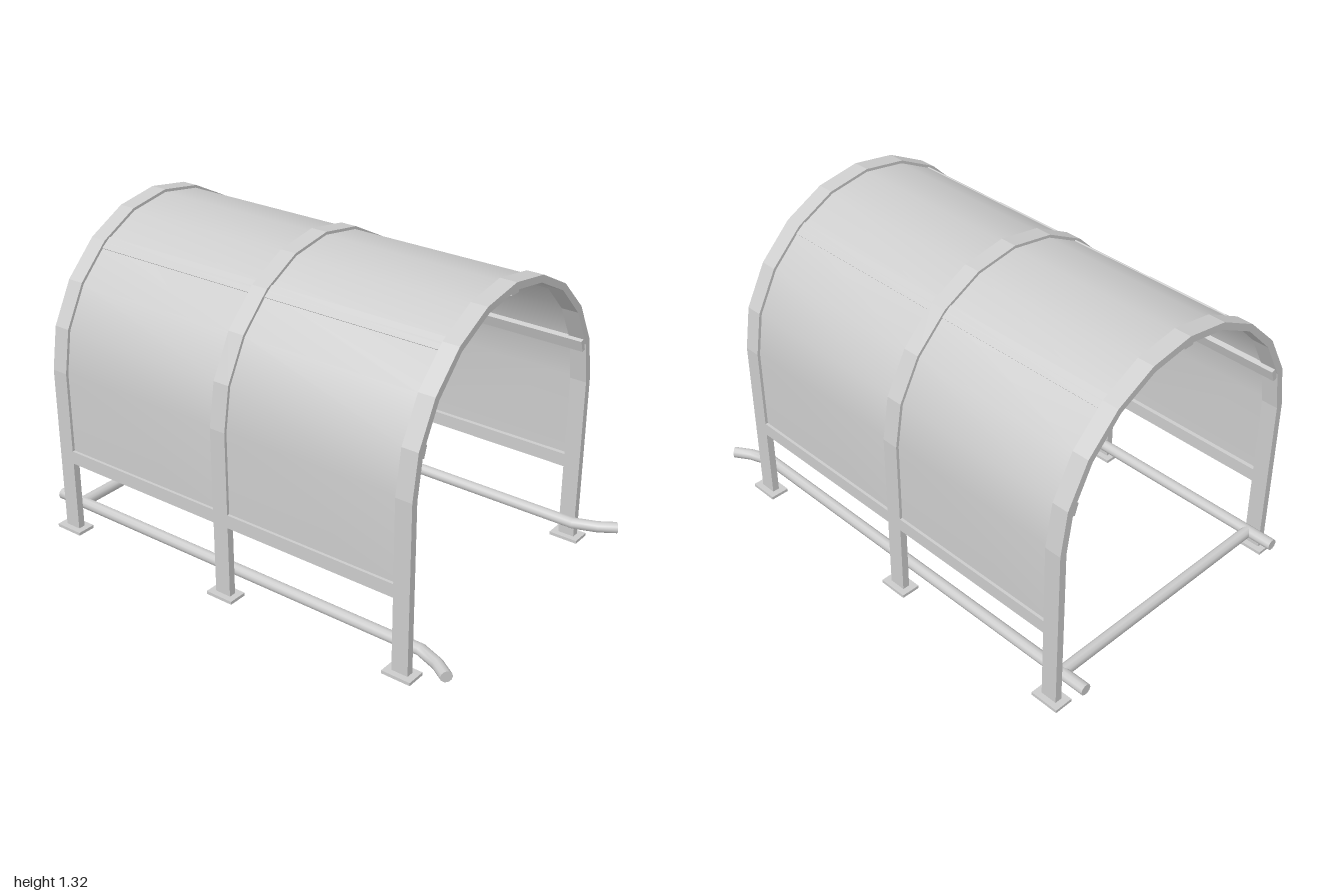
import * as THREE from 'three';

const grey = new THREE.MeshStandardMaterial({ color: 0xcccccc, side: THREE.DoubleSide });
const hoopZ = [0.775, -0.055, -0.88];
const hoopWidth = 0.07;

// Half profiles of the arch, from the ground to the ridge
const outer = [[0.61, 0], [0.61, 0.72], [0.58, 0.9], [0.49, 1.068], [0.353, 1.203], [0.185, 1.29], [0, 1.32]];
const inner = [[0.58, 0], [0.58, 0.715], [0.552, 0.888], [0.468, 1.048], [0.338, 1.18], [0.175, 1.263], [0, 1.291]];
const mirrored = (half) => [...half, ...half.slice(0, -1).reverse().map(([x, y]) => [-x, y])];

// Joins equal cross-sections into a surface; closed wraps each section round
function loft(sections, closed, flat) {
  const n = sections[0].length, index = [];
  for (let i = 0; i < sections.length - 1; i++) {
    for (let j = 0; j < (closed ? n : n - 1); j++) {
      const a = i * n + j, b = i * n + (j + 1) % n;
      index.push(a, b, b + n, a, b + n, a + n);
    }
  }
  let geo = new THREE.BufferGeometry();
  geo.setAttribute('position', new THREE.Float32BufferAttribute(sections.flat(2), 3));
  geo.setIndex(index);
  if (flat) geo = geo.toNonIndexed();
  geo.computeVertexNormals();
  return geo;
}

export function createModel() {
  const model = new THREE.Group();
  const add = (name, geo, x = 0, y = 0, z = 0, tilt = 0) => {
    const mesh = new THREE.Mesh(geo, grey);
    mesh.name = name;
    mesh.position.set(x, y, z);
    mesh.rotation.z = tilt;
    model.add(mesh);
  };

  // Hollow rectangular hoops, open at the feet
  const out = mirrored(outer), inn = mirrored(inner), h = hoopWidth / 2;
  const hoop = loft(out.map(([x, y], i) => [
    [x, y, -h], [x, y, h], [...inn[i], h], [...inn[i], -h],
  ]), true, true);

  // Foot plate with a hole for the post
  const plate = new THREE.Shape([[-0.04, -0.062], [0.04, -0.062], [0.04, 0.062], [-0.04, 0.062]]
    .map(([x, y]) => new THREE.Vector2(x, y)));
  plate.holes.push(new THREE.Path([[-0.015, -h], [-0.015, h], [0.015, h], [0.015, -h]]
    .map(([x, y]) => new THREE.Vector2(x, y))));
  const foot = new THREE.ExtrudeGeometry(plate, { depth: 0.013, bevelEnabled: false });
  foot.rotateX(-Math.PI / 2);

  for (const z of hoopZ) {
    add('hoop', hoop, 0, 0, z);
    for (const s of [1, -1]) add('footPlate', foot, s * 0.595, 0, z);
  }

  // Curved cover sheets and bottom rails between the hoops
  const mid = mirrored(outer.map(([x, y], i) =>
    [x * 0.6 + inner[i][0] * 0.4, i === 0 ? 0.34 : y * 0.6 + inner[i][1] * 0.4]));
  for (let k = 0; k < 2; k++) {
    const z1 = hoopZ[k] - h, z0 = hoopZ[k + 1] + h, zc = (z0 + z1) / 2, len = z1 - z0;
    add('coverSheet', loft(mid.map(([x, y]) => [[x, y, z0], [x, y, z1]]), false, false));
    for (const s of [1, -1]) {
      add('bottomRail', new THREE.BoxGeometry(0.03, 0.056, len), s * 0.595, 0.347, zc);
      add('seamStrip', new THREE.BoxGeometry(0.055, 0.016, len), s * 0.342, 1.187, zc, -s * 0.66);
    }
  }

  // Long purlins under the arch
  const span = hoopZ[0] - hoopZ[2] + 0.06, centre = (hoopZ[0] + hoopZ[2]) / 2;
  add('ridgePurlin', new THREE.BoxGeometry(0.045, 0.02, span), 0, 1.284, centre);
  for (const s of [1, -1]) {
    add('sidePurlin', new THREE.BoxGeometry(0.022, 0.05, span), s * 0.542, 0.886, centre, s * 0.33);
  }

  // Ground skid pipes, flared outward at the front
  const bend = [[0.545, -1], [0.545, 0.82], [0.58, 0.915], [0.622, 0.98]];
  const aim = [[0, 1], [0.17, 0.985], [0.45, 0.89], [0.64, 0.77]];
  const r = 0.0235, sides = 10;
  for (const s of [1, -1]) {
    const rings = bend.map(([x, z], i) => Array.from({ length: sides }, (_, j) => {
      const a = j / sides * Math.PI * 2 * s, [dx, dz] = aim[i];
      return [s * (x + Math.cos(a) * r * dz), 0.098 + Math.sin(a) * r, z - Math.cos(a) * r * dx];
    }));
    // Collapsed rings close the two ends
    const cap = ([x, z]) => Array.from({ length: sides }, () => [s * x, 0.098, z]);
    add('skidPipe', loft(rings, true, false));
    add('pipeEnd', loft([cap(bend[0]), rings[0]], true, true));
    add('pipeEnd', loft([rings[3], cap(bend[3])], true, true));
  }

  // Rear cross pipe
  const cross = new THREE.CylinderGeometry(r, r, 1.09, sides);
  cross.rotateZ(Math.PI / 2);
  add('crossPipe', cross, 0, 0.098, hoopZ[2]);

  return model;
}
